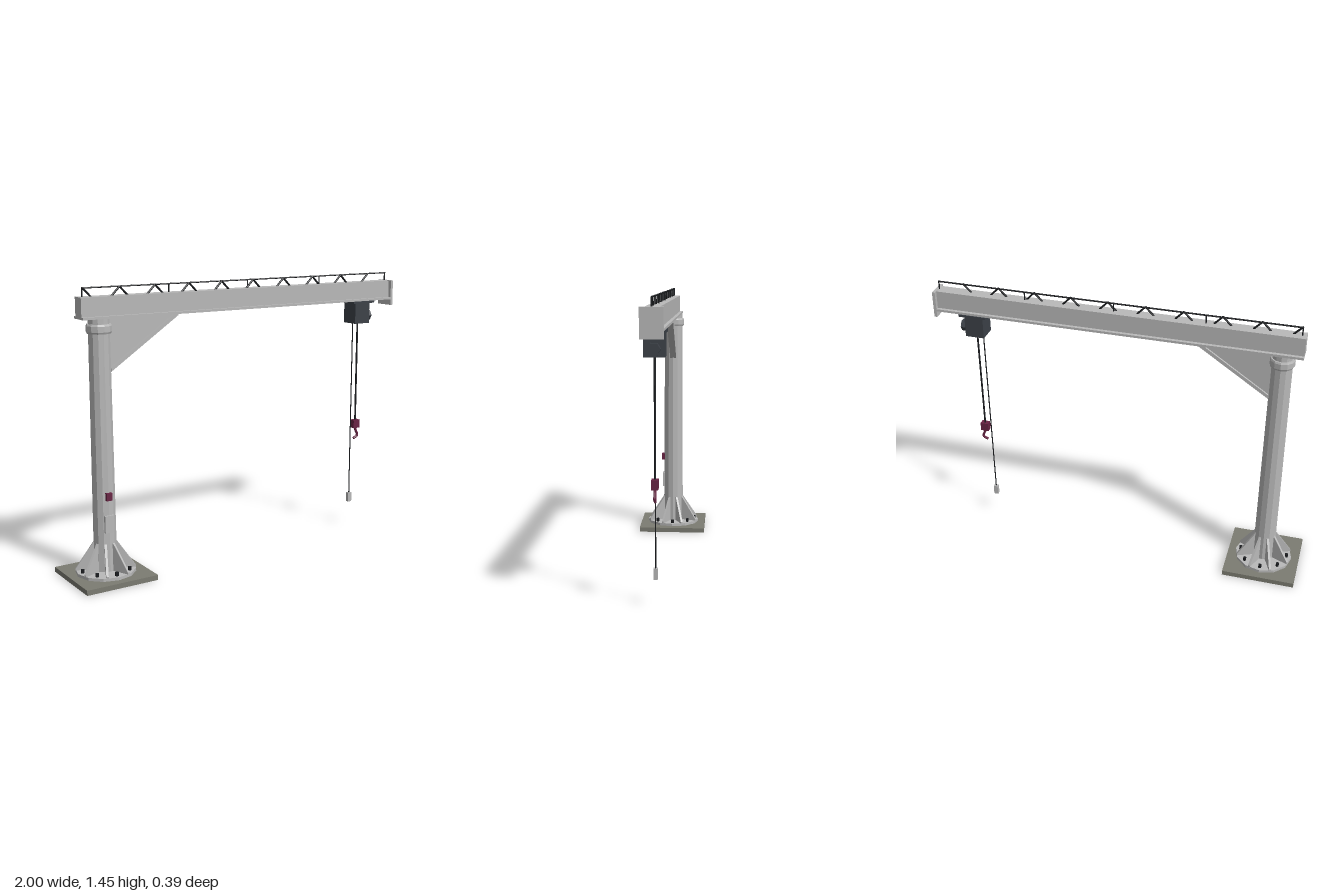
import * as THREE from 'three';

const mat = (name, color, flat = true) => {
  const m = new THREE.MeshStandardMaterial({ color, flatShading: flat });
  m.name = name;
  return m;
};

export function createModel() {
  const steel = mat('light grey steel', 0xb9b9b9);
  const concrete = mat('base grey', 0x7c7c72);
  const dark = mat('hoist slate', 0x3c4148);
  const black = mat('black metal', 0x1b1d20);
  const red = mat('dark red', 0x692444);
  const root = new THREE.Group();
  root.name = 'jibCrane';
  const CX = -0.808; // column axis

  const add = (name, geo, m, x = 0, y = 0, z = 0, parent = root) => {
    const mesh = new THREE.Mesh(geo, m);
    mesh.name = name;
    mesh.position.set(x, y, z);
    parent.add(mesh);
    return mesh;
  };
  // Box given by its extents on each axis
  const box = (name, m, x0, x1, y0, y1, z0, z1) =>
    add(name, new THREE.BoxGeometry(x1 - x0, y1 - y0, z1 - z0), m, (x0 + x1) / 2, (y0 + y1) / 2, (z0 + z1) / 2);
  // Upright cylinder between two heights
  const post = (name, m, x, y0, y1, z, rTop, rBottom = rTop, sides = 12, parent = root) =>
    add(name, new THREE.CylinderGeometry(rTop, rBottom, y1 - y0, sides), m, x, (y0 + y1) / 2, z, parent);
  // Round bar between two points
  const bar = (name, m, a, b, r, sides = 6) => {
    const p = new THREE.Vector3(...a), q = new THREE.Vector3(...b);
    const d = q.clone().sub(p);
    const mesh = add(name, new THREE.CylinderGeometry(r, r, d.length(), sides), m);
    mesh.position.copy(p).add(q).multiplyScalar(0.5);
    mesh.quaternion.setFromUnitVectors(new THREE.Vector3(0, 1, 0), d.normalize());
    return mesh;
  };
  // Flat plate cut from a polygon, centred on z
  const plate = (points, t) => {
    const s = new THREE.Shape(points.map(([x, y]) => new THREE.Vector2(x, y)));
    return new THREE.ExtrudeGeometry(s, { depth: t, bevelEnabled: false }).translate(0, 0, -t / 2);
  };

  // Foundation and column
  box('basePlate', concrete, -1, -0.615, 0, 0.026, -0.193, 0.193);
  post('footFlange', steel, CX, 0.026, 0.041, 0, 0.152);
  post('column', steel, CX, 0.041, 1.3, 0, 0.052, 0.058);
  const collar = [[0.05, 1.228], [0.059, 1.228], [0.063, 1.237], [0.063, 1.265], [0.059, 1.274], [0.05, 1.274]];
  add('collar', new THREE.LatheGeometry(collar.map(p => new THREE.Vector2(...p)), 12), steel, CX);

  // Foot ribs and anchor bolts
  const rib = plate([[0.05, 0.04], [0.15, 0.04], [0.15, 0.05], [0.058, 0.185], [0.05, 0.185]], 0.012);
  for (let i = 0; i < 8; i++) {
    const a = i * Math.PI / 4;
    add('footRib', rib, steel, CX).rotation.y = a + Math.PI / 8;
    post('anchorBolt', black, CX + 0.126 * Math.cos(a), 0.04, 0.06, 0.126 * Math.sin(a), 0.009, 0.009, 6);
  }

  // Fittings on the column
  box('accessPanel', steel, -0.833, -0.785, 0.245, 0.332, 0.045, 0.064);
  box('switchBox', red, -0.824, -0.794, 0.41, 0.448, 0.045, 0.07);

  // Boom with wide lower flange and end stop
  box('boom', steel, -0.912, 0.982, 1.312, 1.405, -0.034, 0.034);
  box('boomFlange', steel, -0.912, 0.982, 1.3, 1.312, -0.052, 0.052);
  box('endPlate', steel, 0.982, 0.997, 1.268, 1.406, -0.053, 0.053);

  // Knee brace: thin web with a flange along its sloping edge
  add('braceWeb', plate([[-0.762, 1.302], [-0.762, 1.042], [-0.385, 1.302]], 0.016), steel);
  add('braceFlange', plate([[-0.757, 1.038], [-0.38, 1.29], [-0.38, 1.302], [-0.395, 1.302], [-0.757, 1.058]], 0.036), steel);

  // Top rail with posts and open lattice
  const railY = 1.447;
  bar('topRail', black, [-0.892, railY, 0], [0.982, railY, 0], 0.004);
  for (let i = 0; i < 5; i++) post('railPost', black, -0.89 + i * 0.467, 1.4, railY, 0, 0.0035, 0.0035, 6);
  for (let i = 0; i < 10; i++) {
    const x = -0.89 + i * 0.193;
    for (const s of [-1, 1]) {
      if ((i === 0 && s < 0) || (i === 9 && s > 0)) continue;
      bar('lattice', black, [x, railY, 0.007], [x + s * 0.043, 1.403, 0.007], 0.005);
    }
  }

  // Trolley and hoist
  box('trolleyPlate', dark, 0.714, 0.86, 1.288, 1.3, -0.056, 0.056);
  box('hoistBody', dark, 0.731, 0.831, 1.176, 1.289, -0.049, 0.049);
  const motor = post('hoistMotor', dark, 0.845, 1.195, 1.235, 0, 0.031, 0.031, 6);
  motor.rotation.z = -Math.PI / 2;

  // Load line and hook
  post('hoistRope', black, 0.788, 0.61, 1.18, 0, 0.005, 0.005, 8);
  box('hookBlock', red, 0.766, 0.81, 0.57, 0.616, -0.016, 0.016);
  const hook = [[0.788, 0.574], [0.793, 0.555], [0.806, 0.53], [0.802, 0.517], [0.778, 0.508]];
  for (let i = 0; i < hook.length - 1; i++) bar('hook', red, [...hook[i], 0], [...hook[i + 1], 0], 0.007);

  // Hanging control
  post('controlCable', black, 0.754, 0.18, 1.18, 0, 0.003, 0.003, 6);
  box('controlPendant', steel, 0.742, 0.766, 0.134, 0.187, -0.01, 0.01);

  return root;
}
